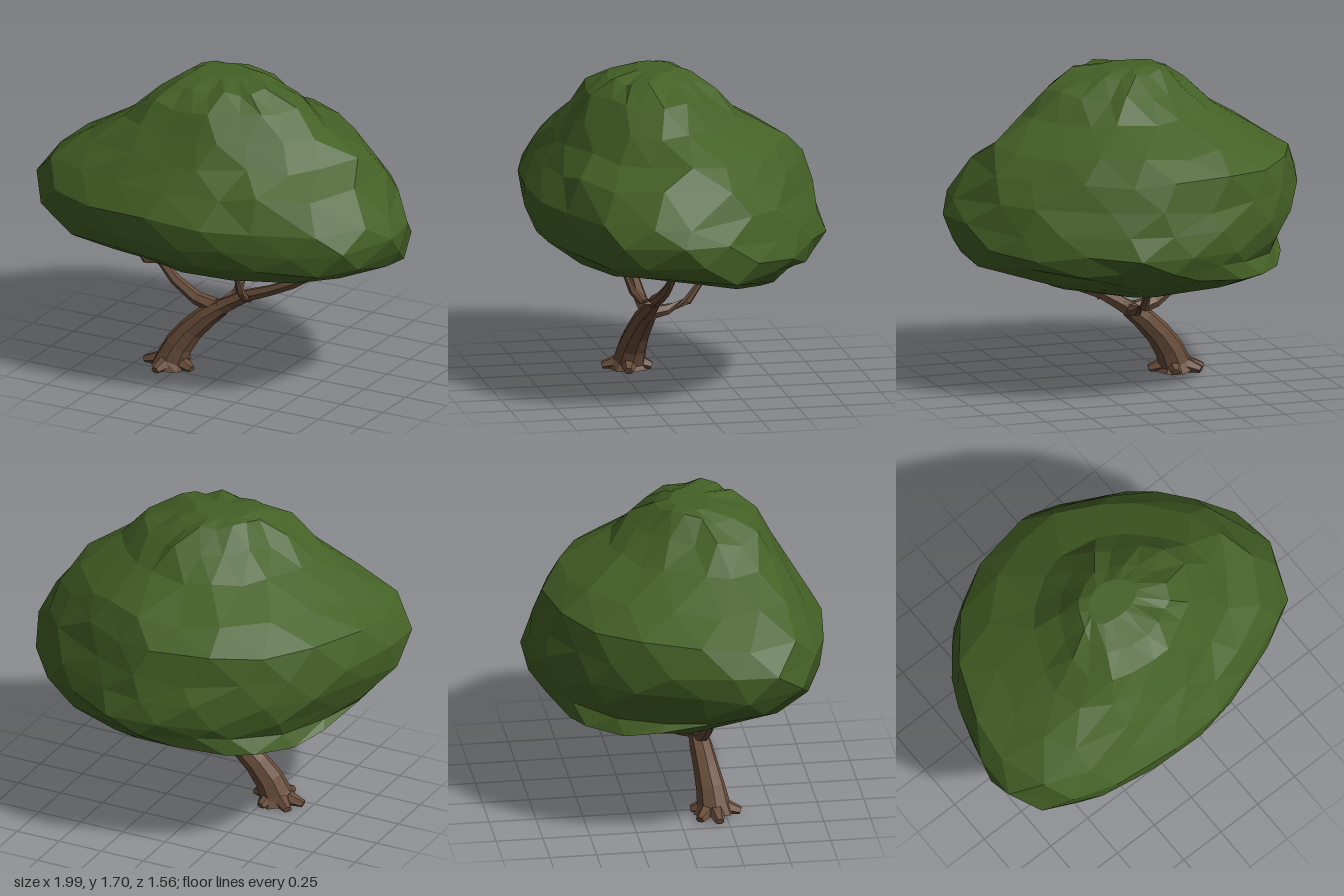
import * as THREE from 'three';

// Skin closed rings of points into a faceted solid with fanned end caps
function loft(rings) {
  const pos = [];
  const tri = (...pts) => pts.forEach((p) => pos.push(p.x, p.y, p.z));
  const middle = (ring) =>
    ring.reduce((s, p) => s.add(p), new THREE.Vector3()).divideScalar(ring.length);
  const n = rings[0].length;
  const last = rings[rings.length - 1];
  const start = middle(rings[0]);
  const end = middle(last);
  for (let j = 0; j < n; j++) {
    const k = (j + 1) % n;
    tri(start, rings[0][k], rings[0][j]);
    tri(end, last[j], last[k]);
    for (let i = 0; i < rings.length - 1; i++) {
      const a = rings[i], b = rings[i + 1];
      tri(a[j], a[k], b[j]);
      tri(a[k], b[k], b[j]);
    }
  }
  const geo = new THREE.BufferGeometry();
  geo.setAttribute('position', new THREE.Float32BufferAttribute(pos, 3));
  geo.computeVertexNormals();
  return geo;
}

// Tapered limb through stations [x, y, z, radius]
function limb(stations, sides = 6) {
  const pts = stations.map(([x, y, z]) => new THREE.Vector3(x, y, z));
  const rings = pts.map((p, i) => {
    const t = pts[Math.min(i + 1, pts.length - 1)].clone().sub(pts[Math.max(i - 1, 0)]).normalize();
    const ref = Math.abs(t.z) > 0.85 ? new THREE.Vector3(1, 0, 0) : new THREE.Vector3(0, 0, 1);
    const b = t.clone().cross(ref).normalize();
    const n = b.clone().cross(t);
    return Array.from({ length: sides }, (_, j) => {
      const a = (j / sides) * Math.PI * 2;
      const q = p.clone()
        .addScaledVector(n, Math.cos(a) * stations[i][3])
        .addScaledVector(b, Math.sin(a) * stations[i][3]);
      q.y = Math.max(q.y, 0);
      return q;
    });
  });
  return loft(rings);
}

function canopyGeometry() {
  let seed = 7;
  const jitter = (amount) => {
    seed = (seed * 16807) % 2147483647;
    return (seed / 2147483647 - 0.5) * 2 * amount;
  };
  // Plan outline [x, z], running from the front round by the left
  const plan = [
    [0.14, 0.77], [0.51, 0.67], [0.7, 0.57], [0.86, 0.48], [0.96, 0.3], [1, 0.03], [0.92, -0.2],
    [0.81, -0.33], [0.7, -0.48], [0.42, -0.64], [0.07, -0.78], [-0.37, -0.68], [-0.67, -0.48],
    [-0.8, -0.3], [-0.9, -0.08], [-1, 0.24], [-0.94, 0.52], [-0.86, 0.63], [-0.67, 0.7], [-0.2, 0.78],
  ];
  const outline = new THREE.CatmullRomCurve3(
    plan.map(([x, z]) => new THREE.Vector3(x, 0, z)), true);
  // Levels: height, x from, x to, z from, z to
  const levels = [
    [0.55, -0.14, 0.2, -0.42, -0.18],
    [0.61, -0.56, 0.54, -0.57, -0.02],
    [0.67, -0.77, 0.66, -0.68, 0.16],
    [0.74, -0.83, 0.93, -0.75, 0.6],
    [0.82, -0.91, 0.99, -0.78, 0.73],
    [0.93, -0.98, 1.0, -0.75, 0.78],
    [1.06, -1.0, 0.96, -0.72, 0.78],
    [1.21, -0.93, 0.85, -0.69, 0.71],
    [1.32, -0.73, 0.74, -0.58, 0.63],
    [1.46, -0.52, 0.56, -0.33, 0.55],
    [1.58, -0.37, 0.44, -0.2, 0.47],
    [1.67, -0.25, 0.27, -0.08, 0.36],
    [1.7, -0.17, 0.13, 0.0, 0.2],
  ];
  const sides = 18;
  return loft(levels.map(([y, x0, x1, z0, z1], i) => {
    const edge = i === 0 || i === levels.length - 1;
    return Array.from({ length: sides }, (_, j) => {
      // Each level turns half a step so the facets interlock
      const u = (j + i / 2 + jitter(edge ? 0 : 0.22)) / sides;
      const p = outline.getPointAt((u + 1) % 1);
      let x = (x0 + x1) / 2 + p.x * (x1 - x0) / 2;
      let z = (z0 + z1) / 2 + (p.z / 0.78) * (z1 - z0) / 2;
      // Shallow hollow on the front left shoulder
      if (y > 1.25 && y < 1.6 && x > 0.2 && z > 0.2) { x *= 0.9; z *= 0.93; }
      const wobble = 1 + jitter(edge ? 0 : 0.015);
      return new THREE.Vector3(x * wobble, y + jitter(edge ? 0 : 0.022), z * wobble);
    });
  }));
}

export function createModel() {
  const bark = new THREE.MeshStandardMaterial({ color: 0x674c39 });
  bark.name = 'bark brown';
  const leaf = new THREE.MeshStandardMaterial({ color: 0x446126 });
  leaf.name = 'leaf green';

  const tree = new THREE.Group();
  tree.name = 'tree';
  const add = (name, geo, mat) => {
    const mesh = new THREE.Mesh(geo, mat);
    mesh.name = name;
    tree.add(mesh);
  };

  add('canopy', canopyGeometry(), leaf);

  // Leaning trunk
  add('trunk', limb([
    [-0.31, 0, 0.19, 0.11], [-0.3, 0.05, 0.19, 0.088], [-0.265, 0.13, 0.18, 0.078],
    [-0.2, 0.22, 0.165, 0.068], [-0.11, 0.31, 0.15, 0.06], [-0.03, 0.37, 0.14, 0.048],
  ], 8), bark);

  // Roots spreading from the foot
  const roots = [[-0.46, 0.2], [-0.17, 0.22], [-0.33, 0.33], [-0.27, 0.075], [-0.42, 0.1]];
  for (const [x, z] of roots) {
    add('root', limb([
      [-0.3, 0.05, 0.19, 0.05], [(x - 0.3) / 2, 0.03, (z + 0.19) / 2, 0.042], [x, 0.012, z, 0.024],
    ]), bark);
  }

  // Branches and twigs
  const branches = {
    leftBranch: [
      [-0.09, 0.33, 0.15, 0.05], [0.02, 0.4, 0.14, 0.042], [0.13, 0.465, 0.14, 0.034],
      [0.26, 0.515, 0.14, 0.03], [0.4, 0.58, 0.14, 0.028], [0.52, 0.65, 0.14, 0.022], [0.585, 0.75, 0.14, 0.016],
    ],
    leftTwig: [[0.42, 0.585, 0.14, 0.022], [0.32, 0.63, 0.09, 0.02], [0.29, 0.69, 0.06, 0.015]],
    rightBranch: [
      [-0.05, 0.36, 0.14, 0.045], [-0.18, 0.395, 0.15, 0.036], [-0.3, 0.48, 0.16, 0.03],
      [-0.39, 0.58, 0.16, 0.026], [-0.43, 0.68, 0.15, 0.018],
    ],
    rightTwig: [
      [-0.37, 0.57, 0.16, 0.022], [-0.385, 0.6, 0.23, 0.02], [-0.385, 0.635, 0.33, 0.02], [-0.385, 0.72, 0.43, 0.015],
    ],
    backBranch: [
      [-0.04, 0.36, 0.14, 0.04], [-0.04, 0.375, 0.04, 0.03], [-0.04, 0.415, -0.07, 0.024], [-0.04, 0.57, -0.18, 0.014],
    ],
    frontBranch: [
      [0.13, 0.45, 0.14, 0.028], [0.15, 0.48, 0.22, 0.025], [0.15, 0.53, 0.265, 0.022], [0.15, 0.66, 0.32, 0.013],
    ],
  };
  for (const [name, stations] of Object.entries(branches)) add(name, limb(stations), bark);

  return tree;
}
